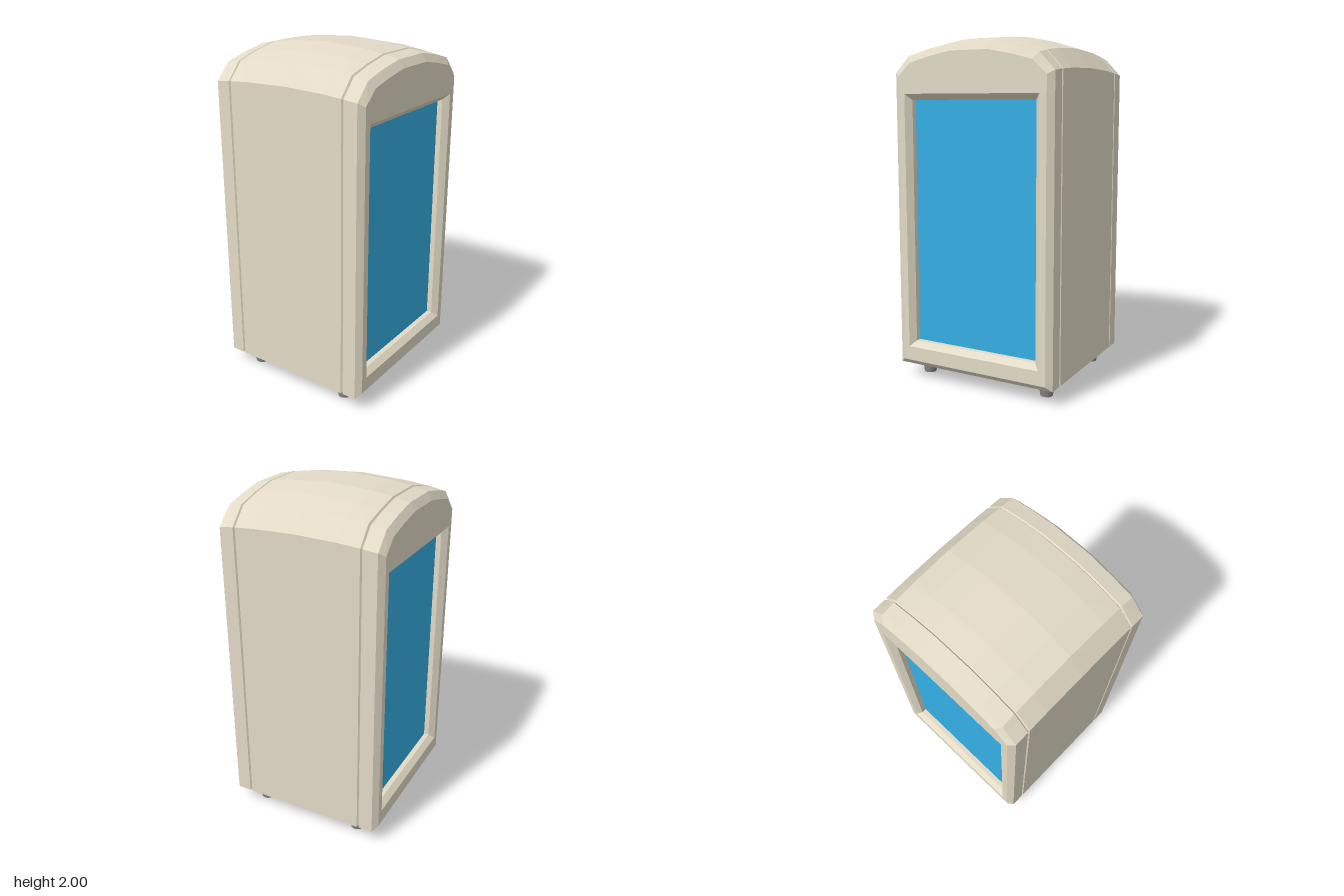
import * as THREE from 'three';

// Skin a list of closed rings (same point count); flip turns the surface inward
function loft(rings, flip = false) {
  const n = rings[0].length, index = [];
  for (let r = 0; r < rings.length - 1; r++) {
    for (let i = 0; i < n; i++) {
      const j = (i + 1) % n;
      const a = r * n + i, b = r * n + j, c = b + n, d = a + n;
      if (flip) index.push(a, c, b, a, d, c);
      else index.push(a, b, c, a, c, d);
    }
  }
  const g = new THREE.BufferGeometry();
  g.setAttribute('position', new THREE.Float32BufferAttribute(rings.flat(2), 3));
  g.setIndex(index);
  const flat = g.toNonIndexed();
  flat.computeVertexNormals();
  return flat;
}

// Right half of the arched roof line: x, y, and how strongly it follows the end slope
const ARCH = [[0.5, 1.817, 0.5], [0.41, 1.928, 0.85], [0.28, 1.968, 0.95], [0.125, 2.0, 1]];
const BOTTOM = 0.087;

// Body outline at depth z, shrunk by inset, counter-clockwise from the front
function outline(z, inset = 0) {
  const drop = 0.245 * z * z;
  const right = ARCH.map(([x, y, k]) => [x * (1 - inset / 0.5), y - k * (drop + inset * 1.1), z]);
  const left = right.map(([x, y]) => [-x, y, z]).reverse();
  const bottom = BOTTOM + inset * 0.9, side = 0.5 - inset;
  return [[-side, bottom, z], [side, bottom, z], ...right, ...left];
}

function rect(hw, y0, y1, z) {
  return [[-hw, y0, z], [hw, y0, z], [hw, y1, z], [-hw, y1, z]];
}

export function createModel() {
  const casing = new THREE.MeshStandardMaterial({ color: 0xe3dbc7 });
  casing.name = 'beige casing';
  casing.flatShading = true;
  const blue = new THREE.MeshStandardMaterial({ color: 0x35afe6 });
  blue.name = 'blue panel';
  const grey = new THREE.MeshStandardMaterial({ color: 0x888888 });
  grey.name = 'grey foot';

  const model = new THREE.Group();
  model.name = 'cabinet';
  const add = (parent, name, geometry, material) => {
    const mesh = new THREE.Mesh(geometry, material);
    mesh.name = name;
    parent.add(mesh);
    return mesh;
  };

  // Shell with two grooves and bevelled ends: [z, inset]
  const half = [[0.245, 0], [0.366, 0], [0.373, 0.009], [0.38, 0], [0.462, 0], [0.49, 0.034]];
  const stations = [...half.map(([z, i]) => [-z, i]).reverse(), [0, 0], ...half];
  add(model, 'shell', loft(stations.map(([z, i]) => outline(z, i))), casing);

  // Identical front and back: face plate, bevelled frame with a straight inner wall, recessed panel
  const face = new THREE.Shape(outline(0.49, 0.034).map(([x, y]) => new THREE.Vector2(x, y)));
  const opening = rect(0.425, 0.2, 1.675, 0.49);
  face.holes.push(new THREE.Path(opening.map(([x, y]) => new THREE.Vector2(x, y)).reverse()));
  const panelZ = 0.427, y0 = 0.231, y1 = 1.642, hw = 0.393;
  const frame = [rect(hw, y0, y1, panelZ), rect(hw, y0, y1, 0.458), opening];
  for (const name of ['front', 'back']) {
    const end = new THREE.Group();
    end.name = name;
    add(end, name + 'Face', new THREE.ShapeGeometry(face).translate(0, 0, 0.49), casing);
    add(end, name + 'Frame', loft(frame, true), casing);
    add(end, name + 'Panel', new THREE.PlaneGeometry(hw * 2, y1 - y0).translate(0, (y0 + y1) / 2, panelZ), blue);
    if (name === 'back') end.rotation.y = Math.PI;
    model.add(end);
  }

  // Four tapered feet
  for (const x of [-0.395, 0.395]) {
    for (const z of [-0.32, 0.32]) {
      add(model, 'foot', new THREE.CylinderGeometry(0.05, 0.036, BOTTOM, 16), grey).position.set(x, BOTTOM / 2, z);
    }
  }
  return model;
}
